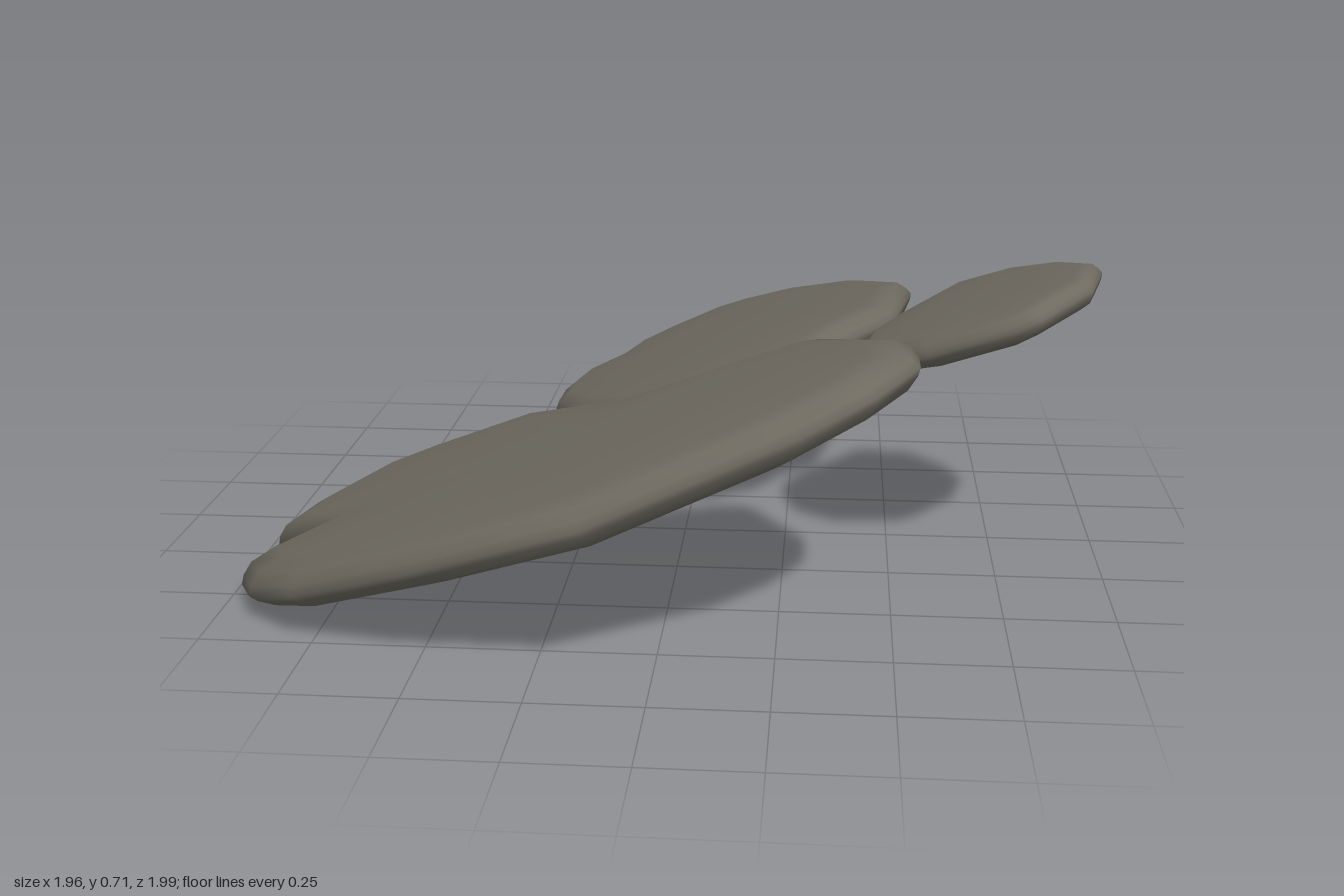
import * as THREE from 'three';

// Rim-to-face profile of a slab: [scale of outline, height as a share of half thickness]
const PROFILE = [
  [0.5, -1], [0.85, -0.88], [0.945, -0.62], [0.985, -0.25], [1, 0],
  [0.985, 0.3], [0.95, 0.66], [0.87, 0.9], [0.5, 1],
];

// Each stone: outline in plan (x, z), centre, half thickness, and the sloping plane y = base + sx*x + sz*z
const STONES = [
  {
    name: 'largeStone', centre: [-0.18, 0.47], half: 0.065, plane: [0.385, 0.385, 0.03],
    outline: [[-0.39, -0.04], [-0.66, -0.05], [-0.79, -0.03], [-0.92, 0.11], [-0.97, 0.24], [-0.81, 0.4],
      [-0.98, 0.5], [-0.92, 0.63], [-0.79, 0.75], [-0.5, 0.88], [-0.13, 0.99], [0.3, 0.86], [0.45, 0.75],
      [0.54, 0.63], [0.54, 0.5], [0.37, 0.23], [-0.09, 0.2]],
  },
  {
    name: 'mediumStone', centre: [0.08, -0.45], half: 0.06, plane: [0.33, 0.37, 0.06],
    outline: [[0.04, -1], [-0.11, -0.92], [-0.2, -0.84], [-0.25, -0.71], [-0.35, -0.63], [-0.38, -0.5],
      [-0.38, -0.36], [-0.3, -0.18], [-0.14, 0.04], [0.18, 0.06], [0.32, 0.01], [0.4, -0.1], [0.51, -0.17],
      [0.56, -0.44], [0.46, -0.67], [0.28, -0.89], [0.13, -0.98]],
  },
  {
    name: 'smallStone', centre: [0.7, 0.06], half: 0.042, plane: [0.31, 0.385, 0.04],
    outline: [[0.68, -0.24], [0.51, -0.09], [0.44, 0.01], [0.43, 0.08], [0.47, 0.21], [0.57, 0.3],
      [0.76, 0.35], [0.82, 0.32], [0.94, 0.21], [0.98, 0.06], [0.93, -0.06], [0.82, -0.19]],
  },
];

// Loft the outline through the profile, then close both faces with a fan
function slabGeometry({ outline, centre: [cx, cz], half, plane: [base, sx, sz] }) {
  const normal = new THREE.Vector3(-sx, 1, -sz).normalize();
  const positions = [], index = [], n = outline.length;
  const add = (x, z, lift) => positions.push(
    x + normal.x * lift, base + sx * x + sz * z + normal.y * lift, z + normal.z * lift);

  for (const [scale, height] of PROFILE) {
    for (const [x, z] of outline) add(cx + (x - cx) * scale, cz + (z - cz) * scale, height * half);
  }
  for (let r = 0; r < PROFILE.length - 1; r++) {
    for (let i = 0; i < n; i++) {
      const a = r * n + i, b = r * n + (i + 1) % n;
      index.push(a, b, b + n, a, b + n, a + n);
    }
  }
  const bottom = PROFILE.length * n, top = bottom + 1, last = (PROFILE.length - 1) * n;
  add(cx, cz, -half * 1.02);
  add(cx, cz, half * 1.02);
  for (let i = 0; i < n; i++) {
    const j = (i + 1) % n;
    index.push(bottom, j, i, top, last + i, last + j);
  }

  const geometry = new THREE.BufferGeometry();
  geometry.setAttribute('position', new THREE.Float32BufferAttribute(positions, 3));
  geometry.setIndex(index);
  geometry.computeVertexNormals();
  return geometry;
}

export function createModel() {
  const group = new THREE.Group();
  group.name = 'steppingStones';
  const stone = new THREE.MeshStandardMaterial({ color: 0x6e6a60 });
  stone.name = 'greyStone';

  for (const spec of STONES) {
    const mesh = new THREE.Mesh(slabGeometry(spec), stone);
    mesh.name = spec.name;
    group.add(mesh);
  }
  return group;
}
